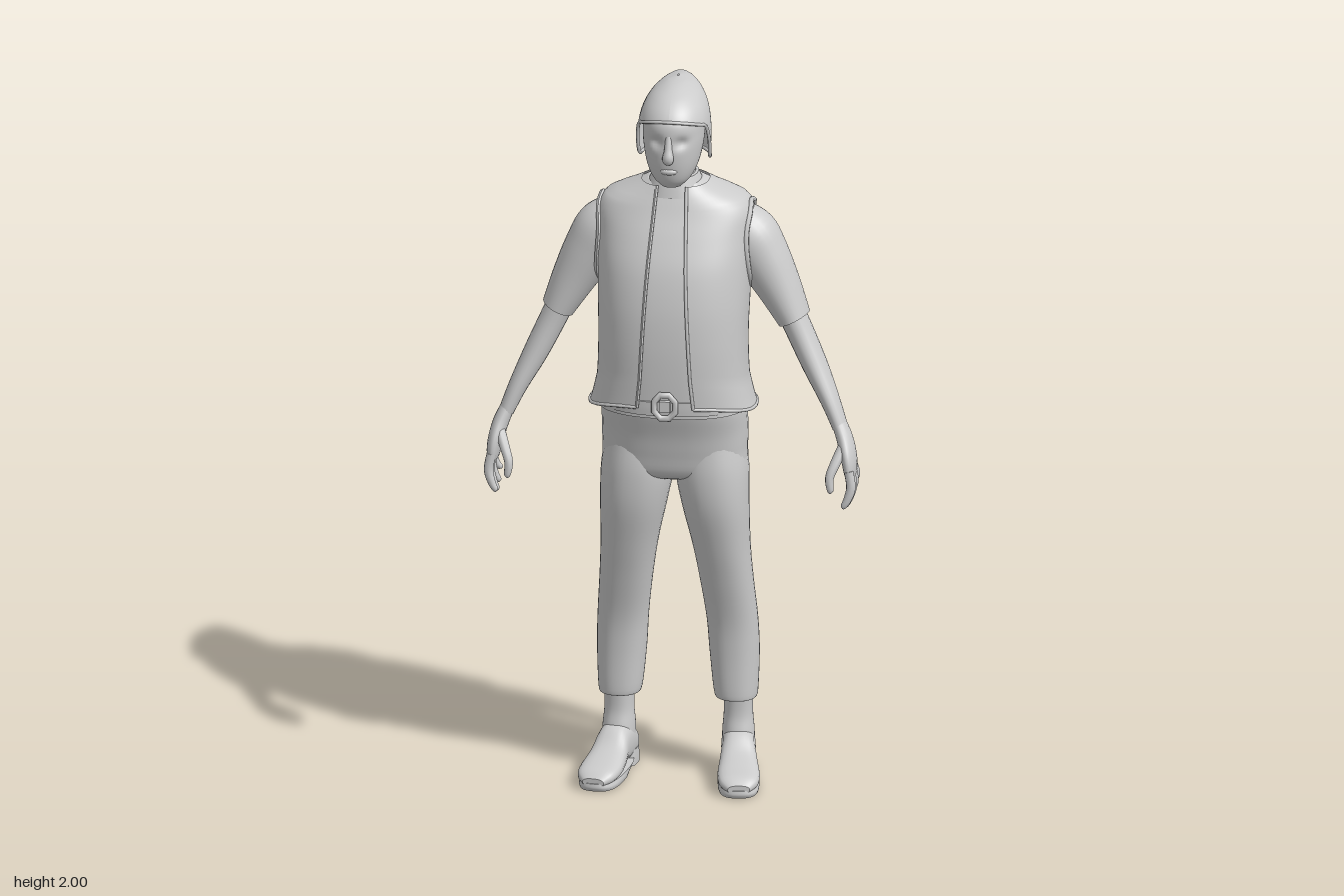
import * as THREE from 'three';

const grey = new THREE.MeshStandardMaterial({ color: 0xcccccc });
const thin = new THREE.MeshStandardMaterial({ color: 0xcccccc, side: THREE.DoubleSide });
const V = (x, y, z) => new THREE.Vector3(x, y, z);
const lerp = THREE.MathUtils.lerp;
const spow = (c, p) => Math.sign(c) * Math.abs(c) ** p;

// Grid surface from f(u, v); closed ones wrap in u and get flat end caps.
function surface(f, nu, nv, closed = true) {
  const pos = [], idx = [], cols = closed ? nu : nu + 1;
  for (let j = 0; j <= nv; j++)
    for (let i = 0; i < cols; i++) pos.push(...f(i / nu, j / nv).toArray());
  for (let j = 0; j < nv; j++)
    for (let i = 0; i < nu; i++) {
      const k = (i + 1) % cols, a = j * cols + i, b = j * cols + k;
      idx.push(a, b, b + cols, a, b + cols, a + cols);
    }
  if (closed) for (const end of [0, 1]) {
    const ring = Array.from({ length: nu }, (_, i) => f(i / nu, end));
    const mid = ring.reduce((s, p) => s.add(p), V(0, 0, 0)).divideScalar(nu);
    const c = pos.length / 3;
    [mid, ...ring].forEach(p => pos.push(...p.toArray()));
    for (let i = 0; i < nu; i++) {
      const a = c + 1 + i, b = c + 1 + (i + 1) % nu;
      idx.push(c, end ? a : b, end ? b : a);
    }
  }
  const g = new THREE.BufferGeometry();
  g.setAttribute('position', new THREE.Float32BufferAttribute(pos, 3));
  g.setIndex(idx);
  g.computeVertexNormals();
  return g;
}

// Smooth blend through table rows at t in 0..1.
function blend(rows, t) {
  const n = rows.length - 1, i = Math.min(n - 1, Math.floor(t * n)), s = t * n - i;
  const [p, a, b, q] = [rows[Math.max(0, i - 1)], rows[i], rows[i + 1], rows[Math.min(n, i + 2)]];
  return a.map((_, k) => {
    const m0 = (b[k] - p[k]) / 2, m1 = (q[k] - a[k]) / 2, d = b[k] - a[k];
    return a[k] + s * (m0 + s * (3 * d - 2 * m0 - m1 + s * (m0 + m1 - 2 * d)));
  });
}

// Row of a table at a given height (linear between smoothed rows is enough).
function atHeight(rows, y) {
  let i = 0;
  while (i < rows.length - 2 && rows[i + 1][0] < y) i++;
  const s = THREE.MathUtils.clamp((y - rows[i][0]) / (rows[i + 1][0] - rows[i][0]), 0, 1);
  return blend(rows, (i + s) / (rows.length - 1));
}

// Point on a horizontal section [y, halfWidth, zFront, zBack, xCentre]; angle 0 is the front.
function onSection([y, w, zf, zb, xc = 0], a, n = 2.3, grow = 0) {
  const cz = (zf + zb) / 2, d = (zf - zb) / 2 + grow;
  return V(xc + (w + grow) * spow(Math.sin(a), 2 / n), y, cz + d * spow(Math.cos(a), 2 / n));
}
const stack = (rows, n = 2.3, nu = 36) =>
  surface((u, v) => onSection(blend(rows, v), u * Math.PI * 2, n), nu, (rows.length - 1) * 5);

// Limb through rows [x, y, z, radius across, radius in depth].
function limb(rows, nu = 20) {
  return surface((u, v) => {
    const [x, y, z, a, b] = blend(rows, v);
    const p = blend(rows, Math.max(0, v - 0.02)), q = blend(rows, Math.min(1, v + 0.02));
    const T = V(q[0] - p[0], q[1] - p[1], q[2] - p[2]).normalize();
    const A = V(0, 0, 1).cross(T).normalize(), B = T.clone().cross(A), t = u * Math.PI * 2;
    return V(x, y, z).addScaledVector(A, a * Math.cos(t)).addScaledVector(B, b * Math.sin(t));
  }, nu, (rows.length - 1) * 5);
}

function mirrored(geo) {
  const g = geo.clone().scale(-1, 1, 1), ix = g.index.array;
  for (let i = 0; i < ix.length; i += 3) [ix[i], ix[i + 1]] = [ix[i + 1], ix[i]];
  g.computeVertexNormals();
  return g;
}
const tube = (pts, r, closed = false) =>
  new THREE.TubeGeometry(new THREE.CatmullRomCurve3(pts, closed), 48, r, 6, closed);

const TORSO = [
  [1.09, 0.205, 0.168, -0.137], [1.2, 0.196, 0.174, -0.137], [1.3, 0.194, 0.175, -0.14],
  [1.4, 0.197, 0.167, -0.157], [1.5, 0.2, 0.145, -0.168], [1.58, 0.203, 0.112, -0.173],
  [1.64, 0.203, 0.082, -0.165], [1.675, 0.18, 0.066, -0.148], [1.7, 0.125, 0.055, -0.122],
  [1.725, 0.075, 0.045, -0.098]];
const HEAD = [
  [1.73, 0.028, 0.085, 0.02], [1.75, 0.05, 0.1, -0.01], [1.78, 0.067, 0.11, -0.05],
  [1.82, 0.078, 0.116, -0.08], [1.87, 0.084, 0.117, -0.1], [1.92, 0.08, 0.11, -0.1],
  [1.95, 0.05, 0.07, -0.08]];
const CAP = [
  [1.79, 0.096, 0.1, -0.106], [1.85, 0.1, 0.116, -0.118], [1.9, 0.097, 0.12, -0.13],
  [1.94, 0.086, 0.102, -0.142], [1.97, 0.066, 0.068, -0.149], [1.988, 0.042, 0.025, -0.145],
  [1.997, 0.022, -0.02, -0.125], [2.0, 0.003, -0.07, -0.08]];

export function createModel() {
  const model = new THREE.Group();
  const add = (name, geo, mat = grey) => {
    const m = new THREE.Mesh(geo, mat);
    m.name = name;
    model.add(m);
  };
  const addPair = (name, geo) => {
    add(name + 'Left', geo);
    add(name + 'Right', mirrored(geo));
  };

  // Shirt, neck and collar
  add('shirt', stack(TORSO, 2.4, 48));
  add('neck', stack([[1.66, 0.06, 0.03, -0.08], [1.74, 0.055, 0.035, -0.075], [1.8, 0.055, 0.04, -0.075]]));
  add('collar', stack([[1.69, 0.085, 0.064, -0.107], [1.715, 0.075, 0.058, -0.1], [1.745, 0.063, 0.05, -0.088]]));

  // Open vest: the front gap widens toward the hem, which dips at the sides
  const gap = y => {
    const x = lerp(0.075, 0.042, (y - 1.1) / 0.6);
    return Math.asin((x / (atHeight(TORSO, y)[1] + 0.01)) ** 1.2);
  };
  const vestPoint = (u, v) => {
    const hem = 1.095 + 0.035 * Math.cos(u * Math.PI * 2) ** 2;
    const y = lerp(hem, 1.72, v), g = gap(y);
    const p = onSection(atHeight(TORSO, y), lerp(g, Math.PI * 2 - g, u), 2.4, 0.01);
    p.x *= 1 + 0.06 * Math.max(0, 1 - v * 8);
    return p;
  };
  add('vest', surface(vestPoint, 72, 40, false), thin);
  const along = f => Array.from({ length: 25 }, (_, i) => f(i / 24));
  addPair('vestEdge', tube(along(t => vestPoint(0, t)), 0.005));
  add('vestHem', tube(along(t => vestPoint(t, 0)), 0.005));

  // Armhole piping laid on the torso side
  addPair('armhole', tube(along(t => {
    const a = t * Math.PI * 2 * 24 / 25, y = 1.54 + 0.12 * Math.cos(a), z = -0.045 + 0.085 * Math.sin(a);
    const [, w, zf, zb] = atHeight(TORSO, y);
    const k = Math.min(0.95, Math.abs((2 * z - zf - zb) / (zf - zb + 0.02)));
    return V((w + 0.012) * (1 - k ** 2.4) ** (1 / 2.4), y, z);
  }), 0.008, true));

  // Belt and buckle
  add('belt', stack([[1.1, 0.2, 0.175, -0.135], [1.12, 0.2, 0.177, -0.135], [1.14, 0.2, 0.178, -0.135]], 2.4));
  const buckle = new THREE.TorusGeometry(0.03, 0.008, 8, 8).rotateZ(Math.PI / 8).scale(1.05, 1.2, 1);
  add('buckle', buckle.translate(0, 1.13, 0.182));
  add('bucklePin', new THREE.BoxGeometry(0.03, 0.03, 0.014).translate(0, 1.13, 0.178));

  // Trousers
  add('trouserSeat', stack([
    [0.875, 0.13, 0.05, -0.08], [0.9, 0.192, 0.095, -0.125], [0.96, 0.198, 0.112, -0.146],
    [1.02, 0.199, 0.126, -0.152], [1.08, 0.197, 0.145, -0.137], [1.12, 0.19, 0.155, -0.125]], 2.5));
  addPair('trouserLeg', stack([
    [0.22, 0.052, -0.013, -0.128, 0.161], [0.235, 0.06, -0.008, -0.134, 0.159],
    [0.35, 0.068, -0.005, -0.14, 0.155], [0.45, 0.07, 0.005, -0.13, 0.15],
    [0.57, 0.073, 0.035, -0.112, 0.138], [0.68, 0.079, 0.066, -0.107, 0.126],
    [0.8, 0.092, 0.097, -0.112, 0.112], [0.9, 0.1, 0.106, -0.132, 0.102],
    [0.98, 0.09, 0.1, -0.135, 0.1]], 2.2));

  // Boots: shaft, upper, sole and heel, turned slightly outward
  const place = g => g.rotateY(0.15).translate(0.165, 0, -0.075);
  addPair('bootShaft', stack([
    [0.06, 0.045, 0.055, -0.058], [0.12, 0.044, 0.045, -0.056], [0.17, 0.04, 0.036, -0.05],
    [0.24, 0.041, 0.04, -0.052]].map(r => [...r, 0]), 2.2).rotateY(0.15).translate(0.165, 0, -0.075));
  const UPPER = [
    [-0.062, 0.03, 0.08], [-0.05, 0.043, 0.1], [0, 0.047, 0.13], [0.05, 0.047, 0.125],
    [0.1, 0.053, 0.088], [0.16, 0.058, 0.068], [0.21, 0.052, 0.056], [0.238, 0.03, 0.038]];
  addPair('bootUpper', place(surface((u, v) => {
    const [z, w, top] = blend(UPPER, v), a = u * Math.PI * 2, mid = (top + 0.015) / 2;
    return V(w * spow(Math.cos(a), 0.8), mid + (top - mid) * spow(Math.sin(a), 0.8), z);
  }, 24, 35)));
  addPair('bootSole', place(stack([[0.002, 0.055, 0.238, 0.03], [0.012, 0.057, 0.243, 0.02], [0.024, 0.056, 0.242, -0.03]], 2.8)));
  addPair('bootHeel', place(stack([[0, 0.046, 0.012, -0.062], [0.02, 0.046, 0.012, -0.063], [0.045, 0.045, 0.012, -0.062]], 4)));

  // Arms
  addPair('sleeve', limb([
    [0.15, 1.61, -0.05, 0.06, 0.07], [0.195, 1.56, -0.047, 0.083, 0.082], [0.235, 1.5, -0.044, 0.076, 0.078],
    [0.28, 1.42, -0.04, 0.062, 0.07], [0.325, 1.33, -0.035, 0.046, 0.063]], 28));
  addPair('forearm', limb([
    [0.305, 1.37, -0.038, 0.038, 0.046], [0.342, 1.29, -0.033, 0.037, 0.046], [0.385, 1.2, -0.02, 0.034, 0.046],
    [0.43, 1.11, 0.005, 0.026, 0.038], [0.46, 1.04, 0.022, 0.021, 0.031]]));

  // Hands: palm, four curled fingers and a thumb
  addPair('palm', limb([
    [0.455, 1.055, 0.018, 0.02, 0.03], [0.474, 1.01, 0.03, 0.022, 0.038], [0.487, 0.96, 0.042, 0.021, 0.05],
    [0.492, 0.92, 0.044, 0.016, 0.05], [0.492, 0.905, 0.044, 0.006, 0.04]]));
  [[0.083, 0.094, 0.832], [0.058, 0.063, 0.825], [0.032, 0.03, 0.838], [0.008, 0, 0.865]].forEach(([z0, z1, tip], i) =>
    addPair('finger' + (i + 1), limb([
      [0.492, 0.935, z0, 0.013, 0.014], [0.499, lerp(tip, 0.93, 0.6), lerp(z0, z1, 0.4), 0.013, 0.013],
      [0.49, lerp(tip, 0.93, 0.25), lerp(z0, z1, 0.8), 0.011, 0.011], [0.479, tip + 0.004, z1, 0.008, 0.008],
      [0.476, tip, z1, 0.002, 0.002]], 10)));
  addPair('thumb', limb([
    [0.475, 1.0, 0.05, 0.015, 0.018], [0.455, 0.955, 0.082, 0.014, 0.016], [0.442, 0.92, 0.1, 0.012, 0.013],
    [0.445, 0.885, 0.106, 0.009, 0.009], [0.448, 0.878, 0.106, 0.002, 0.002]], 10));

  // Head with shallow eye sockets, nose and lips
  add('head', surface((u, v) => {
    const p = onSection(blend(HEAD, v), u * Math.PI * 2, 2.1);
    const d = ((Math.abs(p.x) - 0.034) / 0.018) ** 2 + ((p.y - 1.865) / 0.016) ** 2;
    if (p.z > 0) p.z -= 0.013 * Math.exp(-d);
    return p;
  }, 60, 48));
  add('nose', limb([
    [0, 1.885, 0.108, 0.009, 0.01], [0, 1.85, 0.116, 0.011, 0.014], [0, 1.825, 0.121, 0.016, 0.017],
    [0, 1.812, 0.115, 0.012, 0.01]], 12));
  add('lips', new THREE.SphereGeometry(1, 16, 8).scale(0.024, 0.01, 0.012).translate(0, 1.783, 0.105));

  // Cap: rim high over the brow, dropping in front of the ears to the nape
  const capPoint = (u, v) => {
    const a = u * Math.PI * 2, c = Math.cos(a);
    const rim = lerp(1.795, 1.885, THREE.MathUtils.smoothstep(c, -0.05, 0.35)) + 0.04 * Math.max(0, c);
    return onSection(atHeight(CAP, lerp(rim, 2, v)), a, 2.1);
  };
  add('cap', surface((u, v) => capPoint(u, v), 72, 30, false), thin);
  add('capRim', tube(Array.from({ length: 36 }, (_, i) => capPoint(i / 36, 0)), 0.005, true));
  return model;
}
